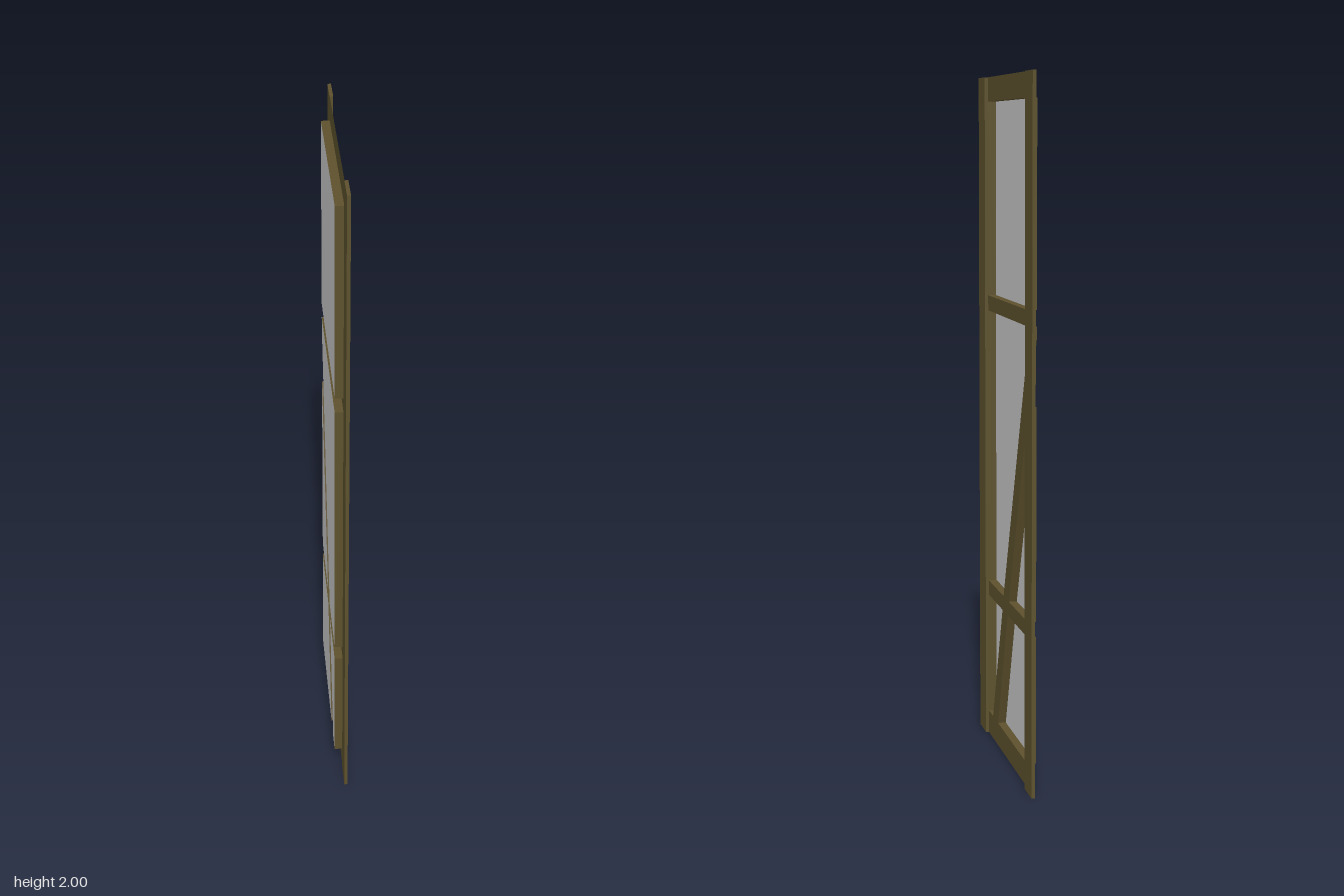
import * as THREE from 'three';

const FACE_X = 0.006;   // plane of the rails and brace
const PANE_X = -0.018;  // plane of the recessed panes
const IN = 0.25;        // half width between the stiles

const wood = new THREE.MeshStandardMaterial({ color: 0x5d512d, side: THREE.DoubleSide, flatShading: true });
const pane = new THREE.MeshStandardMaterial({ color: 0xcccccc, side: THREE.DoubleSide });

// Flat outline in (u, y), with u running towards -z, facing +x
function sheet(points, x) {
  const shape = new THREE.Shape(points.map(([u, y]) => new THREE.Vector2(u, y)));
  return new THREE.ShapeGeometry(shape).rotateY(Math.PI / 2).translate(x, 0, 0);
}

// Walls running round an opening from the face back to the pane
function reveal(points) {
  const pos = [];
  points.forEach(([u, y], i) => {
    const [u2, y2] = points[(i + 1) % points.length];
    const a = [FACE_X, y, -u], b = [FACE_X, y2, -u2];
    const c = [PANE_X, y2, -u2], d = [PANE_X, y, -u];
    pos.push(...a, ...d, ...c, ...a, ...c, ...b);
  });
  const g = new THREE.BufferGeometry();
  g.setAttribute('position', new THREE.Float32BufferAttribute(pos, 3));
  g.computeVertexNormals();
  return g;
}

export function createModel() {
  const model = new THREE.Group();
  model.name = 'bracedPanel';
  const add = (geometry, material, name) => {
    const mesh = new THREE.Mesh(geometry, material);
    mesh.name = name;
    model.add(mesh);
  };
  const rect = (y0, y1) => [[-IN, y0], [IN, y0], [IN, y1], [-IN, y1]];

  // Upright stiles, standing proud of the rails
  for (const s of [-1, 1]) {
    add(new THREE.BoxGeometry(0.01, 2, 0.083).translate(0.0105, 1, s * 0.2915), wood, s > 0 ? 'frontStile' : 'backStile');
  }

  // Cross rails
  const rails = { bottomRail: [0, 0.07], lowerRail: [0.44, 0.485], middleRail: [1.315, 1.36], topRail: [1.93, 2] };
  for (const [name, [y0, y1]] of Object.entries(rails)) add(sheet(rect(y0, y1), FACE_X), wood, name);

  // Diagonal brace, in two lengths split by the lower rail
  add(sheet([[-0.193, 0.07], [-0.124, 0.07], [0.003, 0.44], [-0.063, 0.44]], FACE_X), wood, 'lowerBrace');
  add(sheet([[-0.05, 0.485], [0.018, 0.485], [IN, 1.093], [IN, 1.278]], FACE_X), wood, 'upperBrace');

  // Openings, each with its reveal and pane
  const openings = {
    top: rect(1.36, 1.93),
    middle: [[-IN, 0.485], [-0.05, 0.485], [IN, 1.278], [IN, 1.315], [-IN, 1.315]],
    middleCorner: [[0.018, 0.485], [IN, 0.485], [IN, 1.093]],
    bottomFront: [[-IN, 0.07], [-0.193, 0.07], [-0.063, 0.44], [-IN, 0.44]],
    bottomBack: [[-0.124, 0.07], [IN, 0.07], [IN, 0.44], [0.003, 0.44]],
  };
  for (const [name, points] of Object.entries(openings)) {
    add(reveal(points), wood, name + 'Reveal');
    add(sheet(points, PANE_X), pane, name + 'Pane');
  }
  return model;
}
